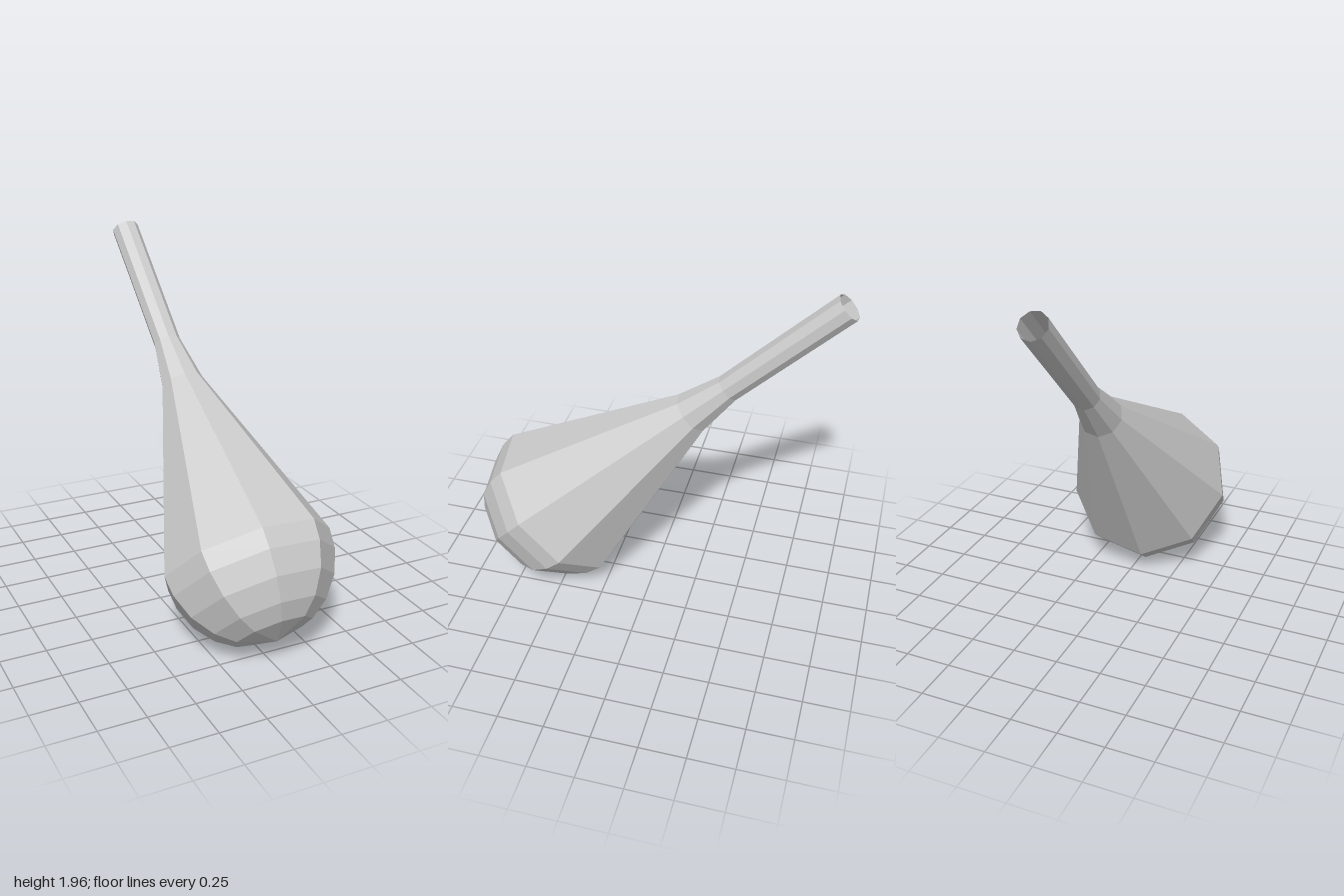
import * as THREE from 'three';

const SIDES = 9;

export function createModel() {
  const group = new THREE.Group();
  group.name = 'bulbWithStem';
  const material = new THREE.MeshStandardMaterial({
    color: 0xcccccc, flatShading: true, side: THREE.DoubleSide,
  });

  // Round bulb: a hemisphere from the pole to its widest ring
  const R = 0.461;
  const profile = [0, 27, 42, 59.5, 76.5, 90].map((deg) => {
    const a = THREE.MathUtils.degToRad(deg);
    return new THREE.Vector2(R * Math.sin(a), R * (1 - Math.cos(a)));
  });

  // Taper into the narrow, open stem
  profile.push(
    new THREE.Vector2(0.117, 1.5),
    new THREE.Vector2(0.075, 1.76),
    new THREE.Vector2(0.076, 2.542),
  );

  const phase = THREE.MathUtils.degToRad(-10);
  const body = new THREE.Mesh(new THREE.LatheGeometry(profile, SIDES, phase), material);
  body.name = 'bulbAndStem';

  // Lean the axis from the low front pole to the raised rear mouth
  const pole = new THREE.Vector3(0.01, 0.144, 0.872);
  const mouth = new THREE.Vector3(-0.035, 1.915, -0.95);
  const axis = mouth.clone().sub(pole).normalize();
  body.quaternion.setFromUnitVectors(new THREE.Vector3(0, 1, 0), axis);
  body.position.copy(pole);
  group.add(body);
  return group;
}
